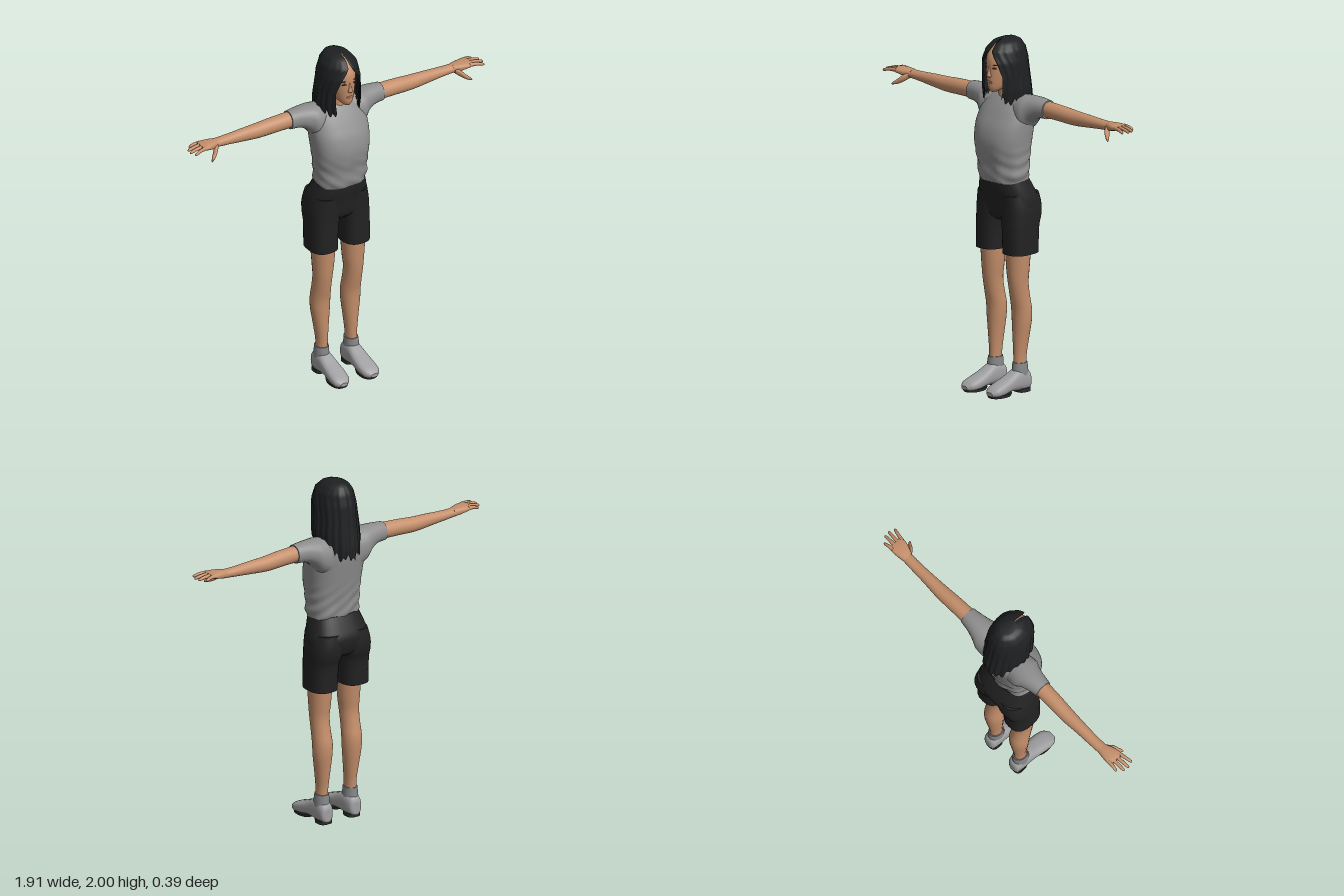
import * as THREE from 'three';

const flat = (color, side = THREE.FrontSide) => new THREE.MeshStandardMaterial({ color, side });
const named = (m, name) => { m.name = name; return m; };
const skin = named(flat(0xc48e6a), 'skin');
const shirtGrey = named(flat(0x8e8e8e), 'shirt grey');
const shortsBlack = named(flat(0x222223), 'shorts black');
const hairBlack = named(flat(0x1e2021, THREE.DoubleSide), 'hair black');
const shoeGrey = named(flat(0xa0a0a2), 'shoe grey');
const sockGrey = named(flat(0x858688), 'sock grey');
const soleDark = named(flat(0x2c2c2c), 'sole dark');
const lipRose = named(flat(0xa96a58), 'lip rose');
const eyeDark = named(flat(0x3a2a22), 'eye dark');

// Smooth curve through a column of values
function smooth(p0, p1, p2, p3, t) {
  return 0.5 * (2 * p1 + (p2 - p0) * t + (2 * p0 - 5 * p1 + 4 * p2 - p3) * t * t
    + (3 * p1 - p0 - 3 * p2 + p3) * t * t * t);
}

function refine(rings, steps) {
  const out = [];
  const at = i => rings[Math.max(0, Math.min(rings.length - 1, i))];
  for (let i = 0; i < rings.length - 1; i++)
    for (let s = 0; s < steps; s++)
      out.push(rings[0].map((_, k) => smooth(at(i - 1)[k], at(i)[k], at(i + 1)[k], at(i + 2)[k], s / steps)));
  out.push(rings[rings.length - 1]);
  return out;
}

// Capped loft of rounded sections. Ring: [position, uMin, uMax, vMin, vMax]
// Axis y uses u = x, v = z; axis x uses u = z, v = y; axis z uses u = y, v = x.
function loft(axis, rings, { n = 2, seg = 24, steps = 4, warp } = {}) {
  const place = { y: (u, v, w) => [u, w, v], x: (u, v, w) => [w, v, u], z: (u, v, w) => [v, u, w] }[axis];
  const pos = [], index = [];
  const power = c => Math.sign(c) * Math.abs(c) ** (2 / n);
  const all = refine(rings, steps);
  const addRing = ([w, u0, u1, v0, v1]) => {
    for (let j = 0; j < seg; j++) {
      const a = j / seg * Math.PI * 2;
      const p = place((u0 + u1) / 2 + (u1 - u0) / 2 * power(Math.cos(a)),
        (v0 + v1) / 2 + (v1 - v0) / 2 * power(Math.sin(a)), w);
      pos.push(...(warp ? warp(...p) : p));
    }
  };
  all.forEach(addRing);
  for (let i = 0; i < all.length - 1; i++)
    for (let j = 0; j < seg; j++) {
      const a = i * seg + j, b = i * seg + (j + 1) % seg;
      index.push(a, a + seg, b, b, a + seg, b + seg);
    }
  [all[0], all[all.length - 1]].forEach((r, end) => {
    const start = pos.length / 3;
    addRing(r);
    pos.push(...place((r[1] + r[2]) / 2, (r[3] + r[4]) / 2, r[0]));
    for (let j = 0; j < seg; j++) {
      const a = start + j, b = start + (j + 1) % seg;
      index.push(start + seg, ...(end ? [b, a] : [a, b]));
    }
  });
  const g = new THREE.BufferGeometry();
  g.setAttribute('position', new THREE.Float32BufferAttribute(pos, 3));
  g.setIndex(index);
  g.computeVertexNormals();
  return g;
}

function mirrored(geometry) {
  const g = geometry.clone().scale(-1, 1, 1);
  const ix = g.index.array;
  for (let i = 0; i < ix.length; i += 3) [ix[i], ix[i + 1]] = [ix[i + 1], ix[i]];
  g.computeVertexNormals();
  return g;
}

// Linear lookup in rows sorted by falling height
function lookup(rows, y) {
  let i = 0;
  while (i < rows.length - 2 && y < rows[i + 1][0]) i++;
  const t = THREE.MathUtils.clamp((rows[i][0] - y) / (rows[i][0] - rows[i + 1][0]), 0, 1);
  return rows[i].map((v, k) => v + (rows[i + 1][k] - v) * t);
}

// Hanging hair shell, open over the face, with ragged tips
function hairGeometry(scale, lift) {
  // height, half width, front z, back z, half angle of the face opening
  const rows = [[2.0, 0.035, 0.01, -0.09, 0.01], [1.985, 0.068, 0.055, -0.12, 0.01],
    [1.945, 0.098, 0.1, -0.145, 0.08], [1.88, 0.113, 0.12, -0.162, 0.5], [1.8, 0.119, 0.116, -0.17, 0.72],
    [1.72, 0.125, 0.11, -0.18, 0.68], [1.64, 0.119, 0.1, -0.192, 0.55], [1.54, 0.112, 0.09, -0.196, 0.5]];
  const A = 120, T = 28, pos = [], index = [];
  for (let i = 0; i <= T; i++)
    for (let j = 0; j <= A; j++) {
      const s = j / A, back = Math.sin(s * Math.PI) ** 2;
      const jag = 0.014 * Math.sin(j * 1.05) + 0.012 * Math.sin(j * 0.47 + 1) + lift;
      const t = i / T, y = 2 - (2 - (1.665 - 0.08 * back + jag)) * t ** 1.3;
      const [, rx, zf, zb, open] = lookup(rows, y);
      const a = 0.1 * (1 - t) * (1 - s) + open + s * (Math.PI * 2 - 2 * open);
      const r = scale * (1 + 0.028 * t * Math.sin(j * 0.9 + 2 * t) + 0.012 * Math.sin(j * 0.4));
      pos.push(rx * r * Math.sin(a), y, (zf + zb) / 2 + (zf - zb) / 2 * r * Math.cos(a));
    }
  for (let i = 0; i < T; i++)
    for (let j = 0; j < A; j++) {
      const a = i * (A + 1) + j, b = a + A + 1;
      index.push(a, b, a + 1, a + 1, b, b + 1);
    }
  for (let j = 1; j < A; j++) index.push(0, j, j + 1);
  const g = new THREE.BufferGeometry();
  g.setAttribute('position', new THREE.Float32BufferAttribute(pos, 3));
  g.setIndex(index);
  g.computeVertexNormals();
  return g;
}

export function createModel() {
  const model = new THREE.Group();
  model.name = 'standingWoman';
  const add = (name, geometry, material) => {
    const m = new THREE.Mesh(geometry, material);
    m.name = name;
    model.add(m);
    return m;
  };
  const pair = (name, geometry, material) => {
    add(name + 'Left', geometry, material);
    add(name + 'Right', mirrored(geometry), material);
  };

  // Head, neck and face
  add('head', loft('y', [[1.712, -0.018, 0.018, 0.045, 0.088], [1.735, -0.042, 0.042, -0.02, 0.1],
    [1.78, -0.062, 0.062, -0.08, 0.104], [1.84, -0.075, 0.075, -0.11, 0.104], [1.9, -0.077, 0.077, -0.12, 0.101],
    [1.945, -0.068, 0.068, -0.11, 0.075], [1.975, -0.035, 0.035, -0.07, 0.03]]), skin);
  add('neck', loft('y', [[1.62, -0.055, 0.055, -0.11, 0.025], [1.68, -0.046, 0.046, -0.105, 0.015],
    [1.78, -0.046, 0.046, -0.1, 0.02]]), skin);
  add('nose', loft('y', [[1.797, -0.01, 0.01, 0.085, 0.107], [1.806, -0.014, 0.014, 0.085, 0.118],
    [1.83, -0.009, 0.009, 0.085, 0.112], [1.862, -0.006, 0.006, 0.085, 0.104]], { seg: 12 }), skin);
  const patch = (w, h, x, y, z, turn) =>
    new THREE.SphereGeometry(1, 12, 8).scale(w, h, 0.004).rotateY(turn).translate(x, y, z);
  add('lips', patch(0.023, 0.007, 0, 1.769, 0.102, 0), lipRose);
  pair('eye', patch(0.014, 0.005, 0.033, 1.85, 0.0945, 0.22), eyeDark);
  pair('eyebrow', patch(0.019, 0.003, 0.035, 1.868, 0.093, 0.22), eyeDark);
  add('hairOuter', hairGeometry(1, 0), hairBlack);
  add('hairInner', hairGeometry(0.94, 0.012), hairBlack);

  // Shirt with soft folds above the hem
  const folds = (x, y, z) => {
    const k = 0.006 * THREE.MathUtils.smoothstep(1.46 - y, 0, 0.2);
    const d = 1 + k / 0.12 * Math.sin(x * 55 + y * 40) * Math.cos(y * 45 + z * 20);
    return [x * d, y, z * d];
  };
  add('shirtBody', loft('y', [[1.2, -0.143, 0.143, -0.108, 0.098], [1.235, -0.152, 0.152, -0.115, 0.108],
    [1.3, -0.154, 0.154, -0.12, 0.112], [1.37, -0.16, 0.16, -0.13, 0.126], [1.44, -0.167, 0.167, -0.14, 0.13],
    [1.51, -0.172, 0.172, -0.15, 0.115], [1.57, -0.172, 0.172, -0.158, 0.085], [1.62, -0.16, 0.16, -0.158, 0.055],
    [1.665, -0.125, 0.125, -0.145, 0.022], [1.695, -0.06, 0.06, -0.115, -0.005]],
  { n: 2.4, seg: 48, steps: 5, warp: folds }), shirtGrey);
  pair('sleeve', loft('x', [[0.09, -0.145, 0.03, 1.47, 1.69], [0.15, -0.148, 0.035, 1.5, 1.695],
    [0.19, -0.135, 0.015, 1.55, 1.696], [0.24, -0.122, 0.0, 1.58, 1.695], [0.3, -0.112, -0.01, 1.585, 1.69]],
  { n: 2.2 }), shirtGrey);

  // Arms and hands
  pair('arm', loft('x', [[0.27, -0.107, -0.015, 1.593, 1.685], [0.4, -0.108, -0.02, 1.59, 1.68],
    [0.5, -0.108, -0.026, 1.587, 1.672], [0.6, -0.102, -0.032, 1.595, 1.668], [0.7, -0.099, -0.036, 1.605, 1.662],
    [0.79, -0.096, -0.035, 1.613, 1.66]]), skin);
  pair('palm', loft('x', [[0.77, -0.095, -0.036, 1.613, 1.66], [0.81, -0.102, -0.02, 1.618, 1.664],
    [0.85, -0.106, -0.01, 1.628, 1.664], [0.88, -0.104, -0.012, 1.636, 1.66]], { n: 2.5 }), skin);
  [[-0.094, -0.1, 0.925], [-0.07, -0.068, 0.952], [-0.046, -0.038, 0.957], [-0.022, -0.004, 0.945]]
    .forEach(([z0, z1, tip], i) => {
      const ring = (x, z, y, r) => [x, z - r, z + r, y - r, y + r];
      pair('finger' + (i + 1), loft('x', [ring(0.86, z0, 1.649, 0.012), ring((0.86 + tip) / 2, (z0 + z1) / 2, 1.648, 0.01),
        ring(tip - 0.008, z1, 1.64, 0.008), ring(tip, z1, 1.639, 0.002)], { seg: 10, steps: 3 }), skin);
    });
  pair('thumb', loft('x', [[0.775, -0.06, -0.03, 1.615, 1.645], [0.8, -0.04, -0.002, 1.595, 1.635],
    [0.825, -0.015, 0.014, 1.581, 1.61], [0.843, 0.006, 0.024, 1.577, 1.594], [0.85, 0.016, 0.024, 1.577, 1.584]],
  { seg: 12 }), skin);

  // Shorts
  add('shortsHips', loft('y', [[0.975, -0.08, 0.08, -0.1, 0.03], [1.0, -0.15, 0.15, -0.142, 0.055],
    [1.04, -0.18, 0.18, -0.162, 0.066], [1.1, -0.18, 0.18, -0.17, 0.074], [1.16, -0.164, 0.164, -0.145, 0.086],
    [1.222, -0.143, 0.143, -0.112, 0.09]], { n: 2.5, seg: 36 }), shortsBlack);
  pair('shortsLeg', loft('y', [[0.795, 0.022, 0.187, -0.137, 0.066], [0.88, 0.02, 0.187, -0.139, 0.066],
    [0.95, 0.014, 0.187, -0.145, 0.066], [1.0, 0.004, 0.187, -0.162, 0.066], [1.06, 0.0, 0.183, -0.169, 0.068],
    [1.13, 0.002, 0.168, -0.158, 0.072]], { n: 2.6 }), shortsBlack);

  // Legs, socks and shoes
  pair('leg', loft('y', [[0.12, 0.064, 0.132, -0.08, 0.0], [0.2, 0.063, 0.128, -0.08, 0.0],
    [0.3, 0.054, 0.14, -0.093, 0.002], [0.4, 0.044, 0.154, -0.106, 0.004], [0.47, 0.042, 0.156, -0.107, 0.008],
    [0.54, 0.046, 0.154, -0.094, 0.022], [0.62, 0.045, 0.155, -0.082, 0.036], [0.7, 0.036, 0.16, -0.088, 0.044],
    [0.83, 0.028, 0.168, -0.1, 0.052]]), skin);
  pair('sock', loft('y', [[0.09, 0.055, 0.14, -0.092, 0.012], [0.13, 0.056, 0.138, -0.088, 0.01],
    [0.168, 0.058, 0.134, -0.085, 0.005]]), sockGrey);
  pair('shoe', loft('z', [[-0.102, 0.02, 0.09, 0.075, 0.118], [-0.09, 0.008, 0.115, 0.058, 0.134],
    [-0.05, 0.006, 0.135, 0.05, 0.141], [0.0, 0.012, 0.13, 0.048, 0.142], [0.06, 0.016, 0.1, 0.043, 0.146],
    [0.12, 0.006, 0.077, 0.041, 0.15], [0.17, 0.006, 0.057, 0.05, 0.146], [0.198, 0.014, 0.036, 0.078, 0.122]],
  { n: 2.6 }), shoeGrey);
  pair('heel', loft('y', [[0, 0.055, 0.137, -0.098, -0.012], [0.022, 0.055, 0.137, -0.098, -0.008]], { n: 3, steps: 1 }), soleDark);
  pair('sole', loft('y', [[0, 0.048, 0.145, 0.05, 0.188], [0.016, 0.046, 0.147, 0.04, 0.192]], { n: 2.4, steps: 1 }), soleDark);
  return model;
}
